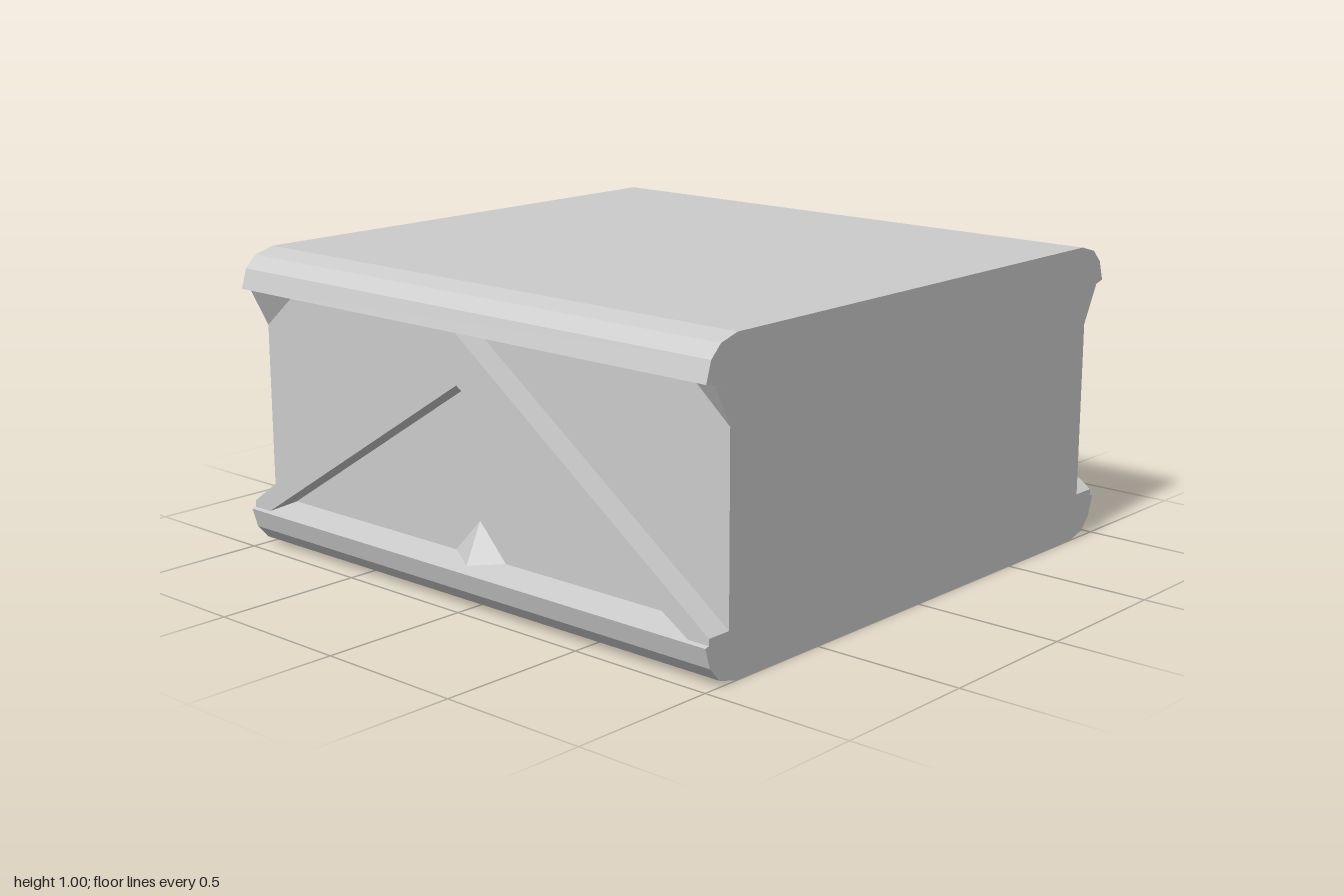
import * as THREE from 'three';
import { ConvexGeometry } from 'three/addons/geometries/ConvexGeometry.js';

const material = new THREE.MeshStandardMaterial({ color: 0xcccccc, flatShading: true });

function part(name, geometry) {
  const mesh = new THREE.Mesh(geometry, material);
  mesh.name = name;
  return mesh;
}

function polygon(points) {
  return new THREE.Shape(points.map(([x, y]) => new THREE.Vector2(x, y)));
}

// Solid wedge spanned by its corner points
function wedge(name, corners) {
  return part(name, new ConvexGeometry(corners.map((c) => new THREE.Vector3(...c))));
}

// Block with rounded lips and a recess on both faces, extruded along x
function body() {
  const half = [
    [0.87, 0], [0.94, 0.02], [0.98, 0.065], [1, 0.13], [0.9, 0.155],
    [0.9, 0.85], [1, 0.875], [0.98, 0.94], [0.94, 0.98], [0.87, 1],
  ];
  const other = half.map(([z, y]) => [-z, y]).reverse();
  const geometry = new THREE.ExtrudeGeometry(polygon([...half, ...other]), { depth: 2, bevelEnabled: false });
  geometry.translate(0, 0, -1).rotateY(Math.PI / 2);
  return part('body', geometry);
}

// Brace and gussets sitting in one recess
function recessDetails(name) {
  const group = new THREE.Group();
  group.name = name;

  // Inverted V brace
  const brace = new THREE.ExtrudeGeometry(polygon([
    [-1, 0.13], [-0.93, 0.13], [0, 0.71], [0.93, 0.13],
    [1, 0.13], [1, 0.155], [0, 0.87], [-1, 0.155],
  ]), { depth: 0.085, bevelEnabled: false });
  brace.translate(0, 0, 0.9);
  group.add(part('brace', brace));

  // Gussets under the upper lip at both ends
  for (const s of [-1, 1]) {
    group.add(wedge(s > 0 ? 'leftGusset' : 'rightGusset', [
      [s, 0.74, 0.9], [s, 0.866, 0.965], [s, 0.85, 0.9], [s * 0.87, 0.85, 0.9],
    ]));
  }

  // Gusset on the middle of the lower lip
  group.add(wedge('middleGusset', [
    [-0.11, 0.155, 0.9], [0.11, 0.155, 0.9], [0, 0.27, 0.9], [0, 0.14, 0.96],
  ]));
  return group;
}

export function createModel() {
  const model = new THREE.Group();
  model.name = 'bracedBlock';
  const back = recessDetails('backDetails');
  back.rotation.y = Math.PI;
  model.add(body(), recessDetails('frontDetails'), back);
  return model;
}
